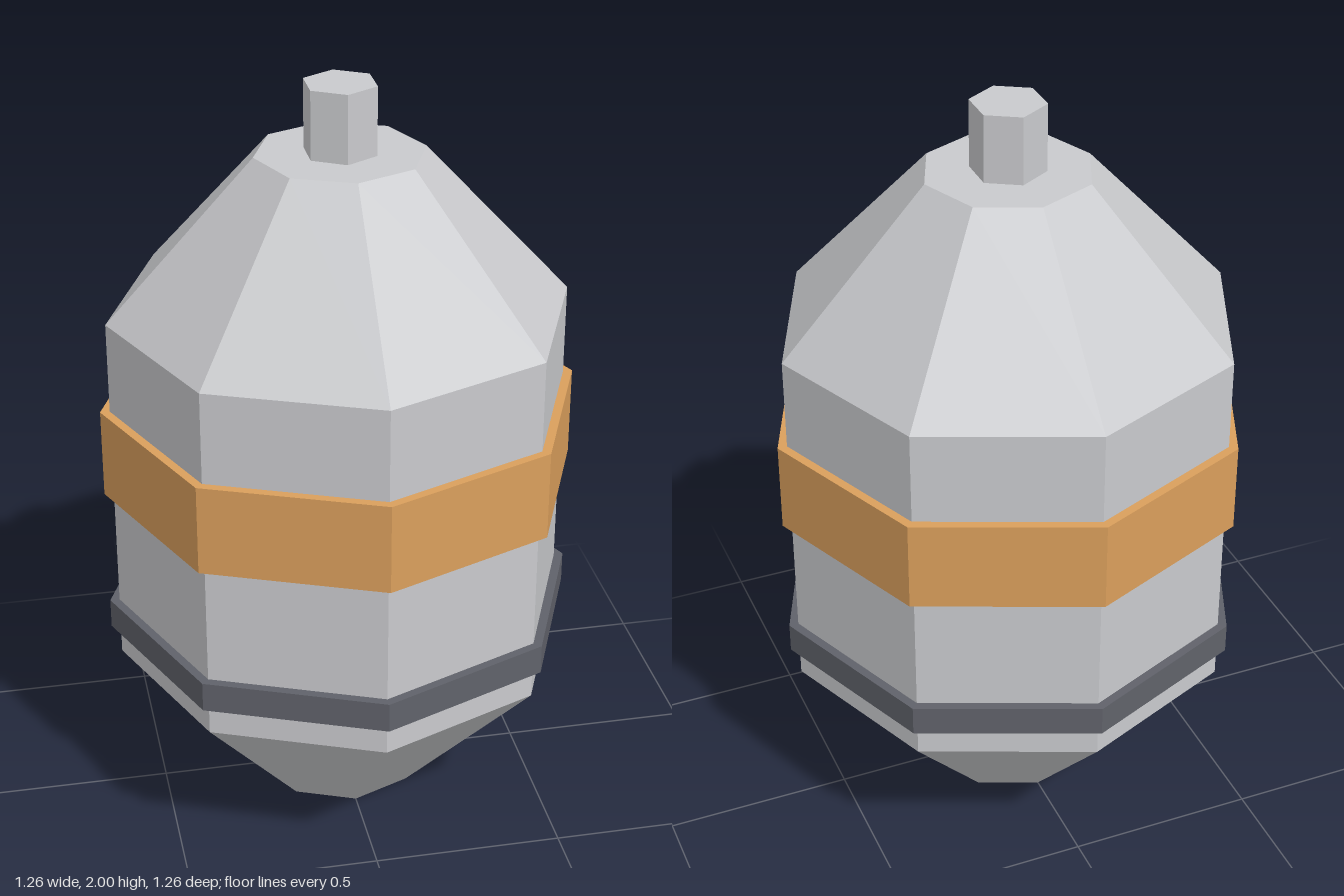
import * as THREE from 'three';

export function createModel() {
  const model = new THREE.Group();
  const material = (name, color) => {
    const m = new THREE.MeshStandardMaterial({ color, flatShading: true });
    m.name = name;
    return m;
  };
  const metal = material('light grey metal', 0xc9cacd);
  const orange = material('orange band paint', 0xda9f5c);
  const dark = material('dark grey band paint', 0x60626a);

  // Faceted prism or frustum between two heights, with a corner facing +z
  const prism = (name, mat, sides, bottomY, topY, bottomR, topR = bottomR, open = false) => {
    const geometry = new THREE.CylinderGeometry(topR, bottomR, topY - bottomY, sides, 1, open);
    const mesh = new THREE.Mesh(geometry, mat);
    mesh.name = name;
    mesh.position.y = (bottomY + topY) / 2;
    model.add(mesh);
  };

  // Eight-sided body: tapered base, straight wall and tapered shoulder in one shell
  const profile = [[0, 0], [0.22, 0], [0.605, 0.425], [0.605, 1.4], [0.22, 1.82], [0, 1.82]];
  const body = new THREE.Mesh(
    new THREE.LatheGeometry(profile.map(([r, y]) => new THREE.Vector2(r, y)), 8),
    metal
  );
  body.name = 'body';
  model.add(body);

  // Raised bands around the wall
  prism('darkBand', dark, 8, 0.507, 0.588, 0.63);
  prism('orangeBand', orange, 8, 0.915, 1.155, 0.63);

  // Six-sided stem on top
  prism('stem', metal, 6, 1.82, 2, 0.097);

  return model;
}
